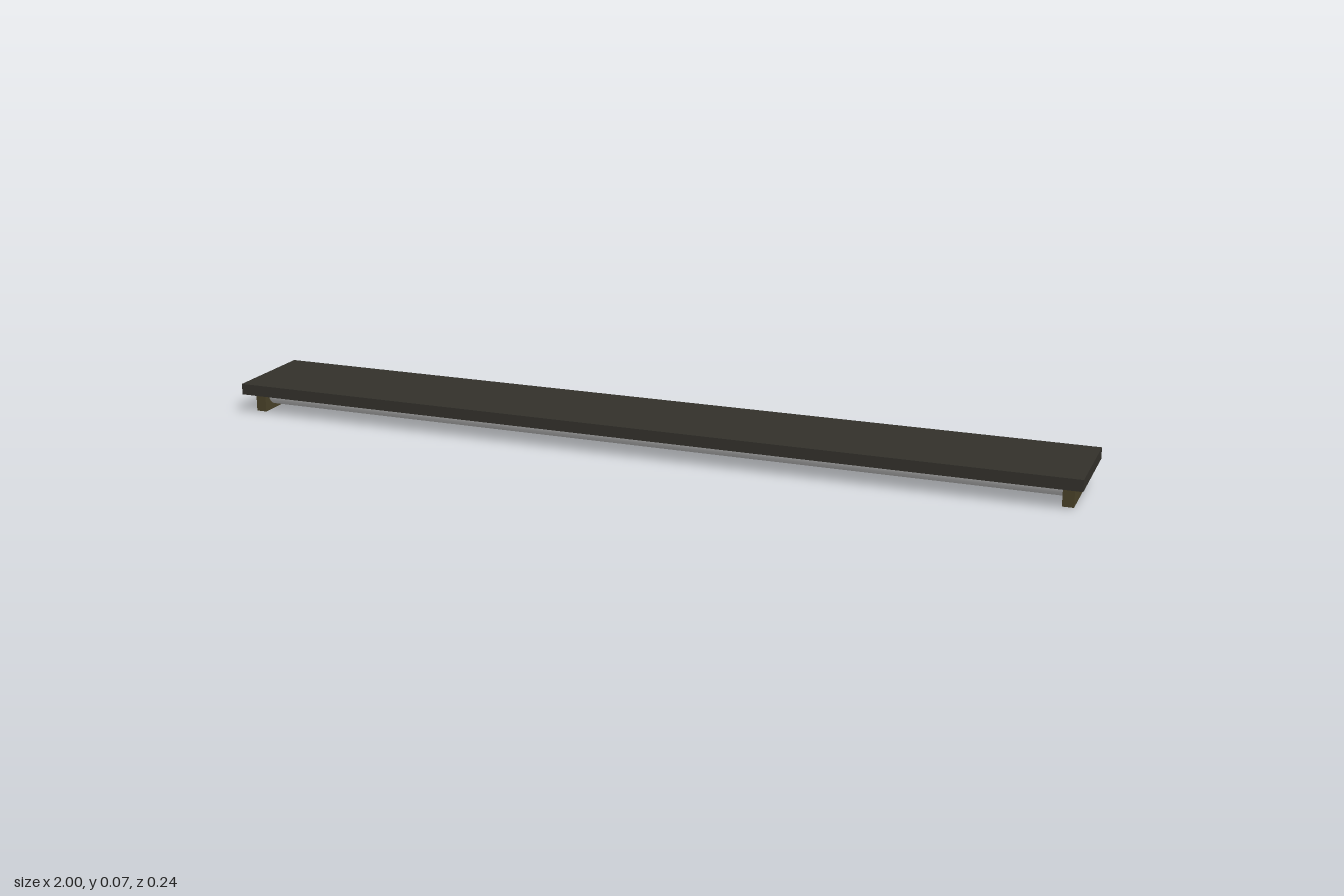
import * as THREE from 'three';

export function createModel() {
  const group = new THREE.Group();
  const panelMat = new THREE.MeshStandardMaterial({ color: 0x33312b });
  const capMat = new THREE.MeshStandardMaterial({ color: 0x4a4229 });
  const tubeMat = new THREE.MeshStandardMaterial({ color: 0xcccccc });

  function add(name, geometry, material, x, y, z) {
    const mesh = new THREE.Mesh(geometry, material);
    mesh.name = name;
    mesh.position.set(x, y, z);
    group.add(mesh);
  }

  // Flat mounting panel
  add('panel', new THREE.BoxGeometry(2, 0.026, 0.238), panelMat, 0, 0.059, 0);

  // Holder blocks at both ends
  const capGeo = new THREE.BoxGeometry(0.025, 0.046, 0.182);
  for (const s of [-1, 1]) {
    add(s > 0 ? 'leftHolder' : 'rightHolder', capGeo, capMat, s * 0.967, 0.023, 0);
  }

  // Two parallel lamp tubes, partly recessed into the panel
  const tubeGeo = new THREE.CylinderGeometry(0.03, 0.03, 1.92, 32);
  tubeGeo.rotateZ(Math.PI / 2);
  for (const s of [-1, 1]) {
    add(s > 0 ? 'frontTube' : 'backTube', tubeGeo, tubeMat, 0, 0.04, s * 0.045);
  }

  return group;
}
